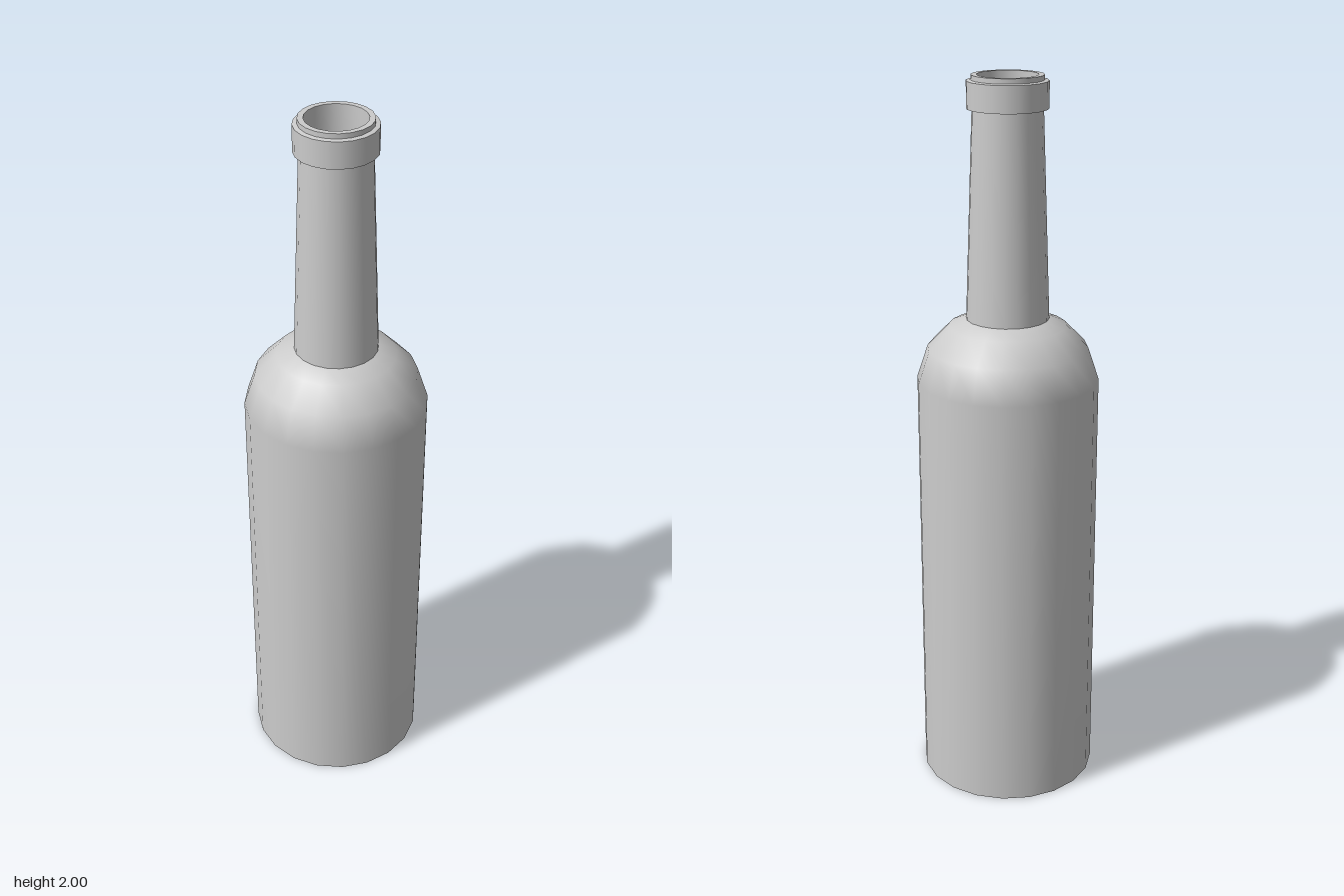
import * as THREE from 'three';

const SIDES = 20;

export function createModel() {
  const bottle = new THREE.Group();
  bottle.name = 'bottle';
  const material = new THREE.MeshStandardMaterial({ color: 0xcccccc });

  // Each part is a smooth turned strip; hard edges fall where strips meet.
  const turn = (name, ...points) => {
    const profile = points.map(([r, y]) => new THREE.Vector2(r, y));
    const mesh = new THREE.Mesh(new THREE.LatheGeometry(profile, SIDES), material);
    mesh.name = name;
    bottle.add(mesh);
  };

  // Hollow underside and the ring it stands on
  turn('punt', [0, 0.07], [0.1, 0.06], [0.18, 0.035], [0.215, 0]);
  turn('baseRing', [0.215, 0], [0.248, 0]);

  // Outer wall
  turn('body', [0.248, 0], [0.248, 1.19], [0.218, 1.28], [0.16, 1.34], [0.111, 1.36]);
  turn('neck', [0.112, 1.36], [0.093, 1.915]);

  // Collar and lip
  turn('collarUnderside', [0.093, 1.915], [0.107, 1.915]);
  turn('collar', [0.107, 1.915], [0.107, 1.985]);
  turn('collarTop', [0.107, 1.985], [0.095, 1.987]);
  turn('lip', [0.095, 1.987], [0.095, 2]);
  turn('lipTop', [0.095, 2], [0.08, 2]);

  // Inner wall and floor
  turn('bore', [0.08, 2], [0.08, 1.9], [0.095, 1.34]);
  turn('innerWall', [0.095, 1.34], [0.145, 1.31], [0.19, 1.26], [0.22, 1.18], [0.22, 0.09]);
  turn('innerFloor', [0.22, 0.09], [0.1, 0.1], [0, 0.1]);

  return bottle;
}
